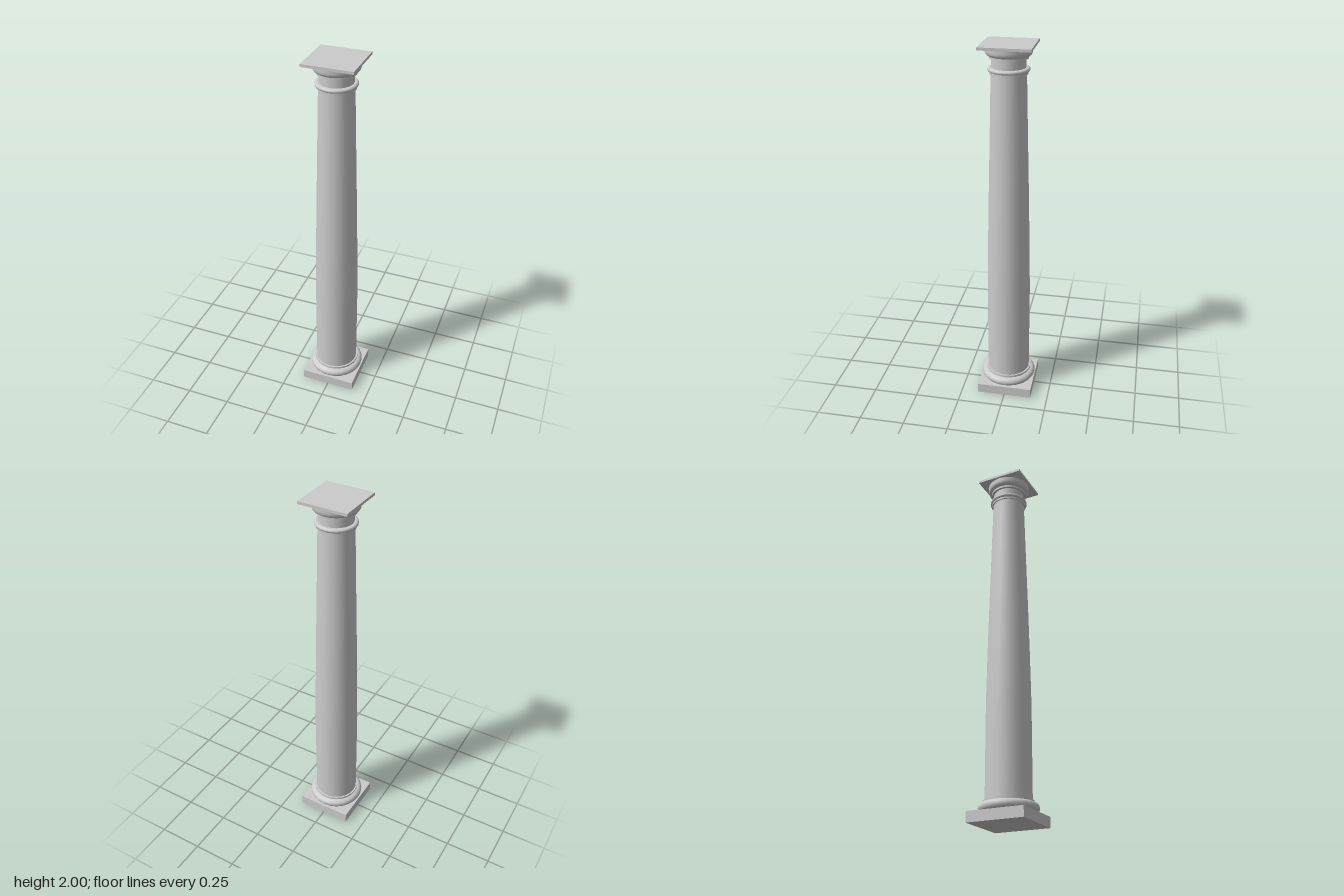
import * as THREE from 'three';
import { mergeGeometries } from 'three/addons/utils/BufferGeometryUtils.js';

const SIDES = 24;
const material = new THREE.MeshStandardMaterial({ color: 0xcccccc });

// Half-round or partial-round profile, from angle a0 to a1 (degrees)
function arc(cx, cy, rx, ry, a0, a1, steps = 8) {
  return Array.from({ length: steps + 1 }, (_, i) => {
    const a = THREE.MathUtils.degToRad(a0 + ((a1 - a0) * i) / steps);
    return [cx + rx * Math.cos(a), cy + ry * Math.sin(a)];
  });
}

// Turned part: each run of [radius, y] points is smooth, with a sharp edge between runs
function turned(name, runs) {
  const geometries = runs.map((run) =>
    new THREE.LatheGeometry(run.map(([r, y]) => new THREE.Vector2(r, y)), SIDES));
  const mesh = new THREE.Mesh(mergeGeometries(geometries), material);
  mesh.name = name;
  return mesh;
}

// Straight-sided ring with flat shelves reaching in to the given radius
function band(r, y0, y1, inner) {
  return [[[inner, y0], [r, y0]], [[r, y0], [r, y1]], [[r, y1], [inner, y1]]];
}

function slab(name, width, y0, y1) {
  const mesh = new THREE.Mesh(new THREE.BoxGeometry(width, y1 - y0, width), material);
  mesh.position.y = (y0 + y1) / 2;
  mesh.name = name;
  return mesh;
}

export function createModel() {
  const column = new THREE.Group();
  column.name = 'column';

  // Base
  column.add(slab('plinth', 0.308, 0, 0.055));
  column.add(turned('baseTorus', [
    [[0.1, 0.055], [0.129, 0.055]],
    arc(0.129, 0.08, 0.025, 0.025, -90, 90),
    [[0.129, 0.105], [0.1, 0.105]],
  ]));
  column.add(turned('baseFillet', band(0.128, 0.105, 0.117, 0.11)));

  // Shaft: straight lower third, then a gentle taper
  column.add(turned('shaft', [[
    [0.119, 0.117], [0.119, 0.62], [0.114, 0.9], [0.107, 1.2],
    [0.099, 1.5], [0.09, 1.855],
  ]]));

  // Necking ring
  column.add(turned('neckFillet', band(0.098, 1.853, 1.864, 0.08)));
  column.add(turned('neckRing', [
    [[0.08, 1.864], [0.097, 1.864]],
    arc(0.097, 1.874, 0.01, 0.01, -90, 90, 6),
    [[0.097, 1.884], [0.08, 1.884]],
  ]));

  // Capital
  column.add(turned('neck', [[[0.087, 1.88], [0.087, 1.932]]]));
  column.add(turned('capitalFillet', band(0.1, 1.93, 1.942, 0.08)));
  column.add(turned('echinus', [
    arc(0.1, 1.967, 0.019, 0.025, -90, 0, 6),
    [[0.119, 1.967], [0.12, 1.988]],
  ]));
  column.add(slab('abacus', 0.263, 1.986, 2));
  return column;
}
